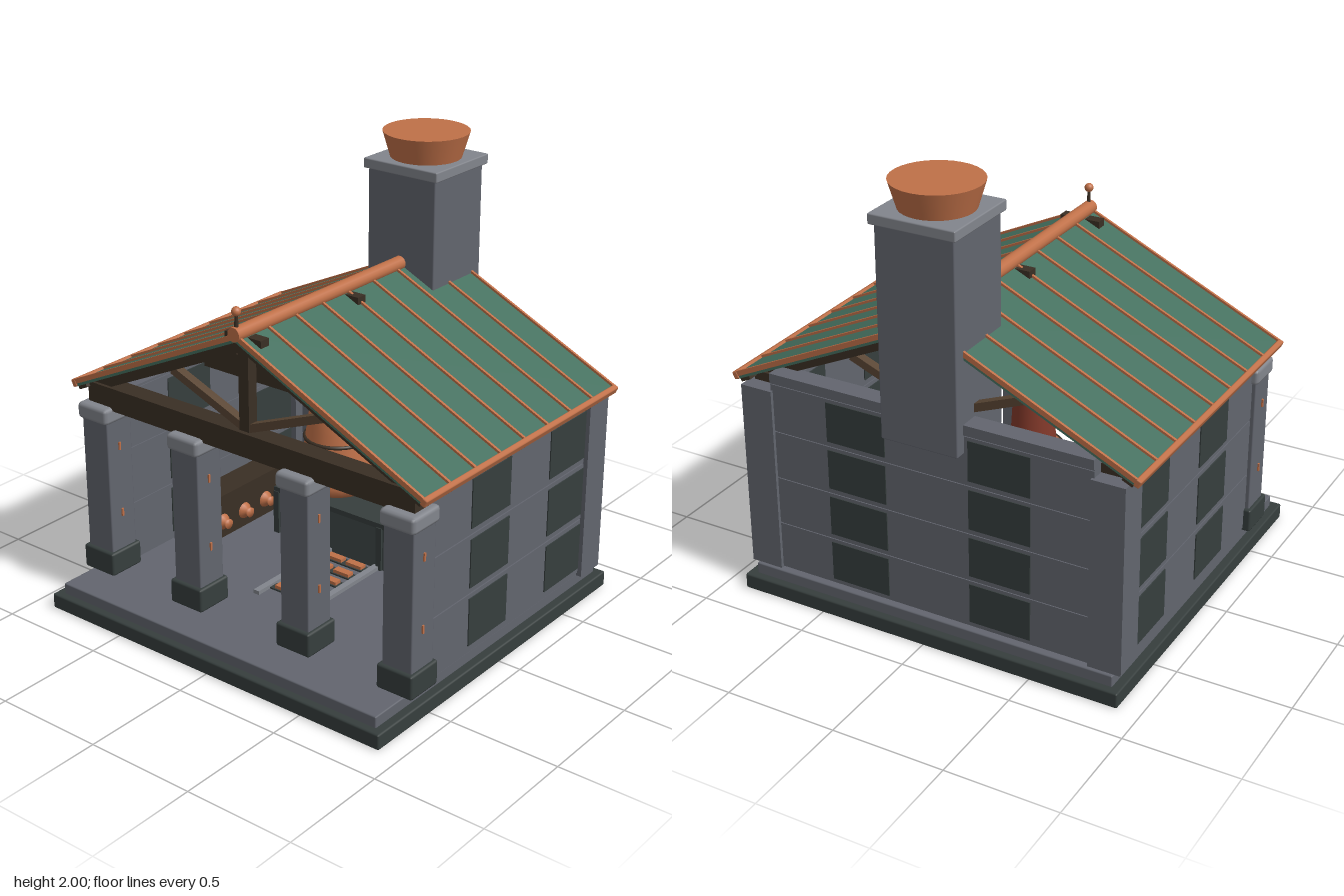
import * as THREE from 'three';
import { RoundedBoxGeometry } from 'three/addons/geometries/RoundedBoxGeometry.js';

const mat = (name, color) => {
  const m = new THREE.MeshStandardMaterial({ color });
  m.name = name;
  return m;
};

export function createModel() {
  const root = new THREE.Group();
  root.name = 'workshop';
  const stone = mat('grey stone', 0x62656e);
  const paleStone = mat('pale stone', 0x82858c);
  const slate = mat('dark slate', 0x363e3d);
  const green = mat('green roofing', 0x45705f);
  const copper = mat('copper', 0xbf7048);
  const rust = mat('dark red copper', 0x83392a);
  const timber = mat('dark timber', 0x3a2f24);
  const strutWood = mat('brown timber', 0x5a4634);
  const iron = mat('iron', 0x3f4847);

  const add = (name, geo, material, x = 0, y = 0, z = 0, parent = root) => {
    const m = new THREE.Mesh(geo, material);
    m.name = name;
    m.position.set(x, y, z);
    parent.add(m);
    return m;
  };
  // Box given by its extents on each axis
  const block = (name, material, x0, x1, y0, y1, z0, z1, bevel = 0, parent = root) => {
    const s = [x1 - x0, y1 - y0, z1 - z0];
    const geo = bevel ? new RoundedBoxGeometry(...s, 1, bevel) : new THREE.BoxGeometry(...s);
    return add(name, geo, material, (x0 + x1) / 2, (y0 + y1) / 2, (z0 + z1) / 2, parent);
  };
  const cyl = (name, material, rTop, rBottom, h, x, y, z, sides = 24, parent = root) =>
    add(name, new THREE.CylinderGeometry(rTop, rBottom, h, sides), material, x, y, z, parent);
  // Timber between two points of one vertical plane
  const timberBar = (name, material, x0, y0, x1, y1, z, thick, depth) => {
    const m = add(name, new THREE.BoxGeometry(Math.hypot(x1 - x0, y1 - y0), thick, depth), material,
      (x0 + x1) / 2, (y0 + y1) / 2, z);
    m.rotation.z = Math.atan2(y1 - y0, x1 - x0);
  };

  // Base
  block('plinth', slate, -0.9, 0.9, 0, 0.07, -0.845, 0.845, 0.008);
  block('floorSlab', stone, -0.86, 0.86, 0.065, 0.12, -0.81, 0.81, 0.006);

  // Side walls in three courses, with dark panels
  for (const s of [-1, 1]) {
    const side = new THREE.Group();
    side.name = 'sideWall';
    root.add(side);
    const wall = (n, m, a, b, ...r) => block(n, m, Math.min(s * a, s * b), Math.max(s * a, s * b), ...r, 0, side);
    wall('wallCore', stone, 0.775, 0.864, 0.12, 0.95, -0.7, 0.5);
    for (let i = 0; i < 3; i++) {
      const y = 0.135 + i * 0.27;
      wall('wallCourse', stone, 0.77, 0.87, y, y + 0.264, -0.66, 0.49);
      for (const z of [-0.645, -0.07])
        wall('wallPanel', slate, 0.765, 0.875, y + 0.025, y + 0.245, z, z + 0.275);
    }
    wall('cornerPier', stone, 0.74, 0.89, 0.12, 0.97, -0.795, -0.65);
  }

  // Back wall in four courses
  block('backWallCore', stone, -0.75, 0.75, 0.12, 1.045, -0.775, -0.705);
  for (let i = 0; i < 4; i++) {
    const y = 0.125 + i * 0.22;
    block('backCourse', stone, -0.75, 0.75, y, y + 0.214, -0.78, -0.7);
    for (const x of [-0.335, 0.335])
      block('backPanel', slate, x - 0.14, x + 0.14, y + 0.02, y + 0.2, -0.785, -0.695);
  }
  block('backWallCap', stone, -0.75, 0.75, 1.005, 1.05, -0.785, -0.695);

  // Front columns
  for (const x of [-0.815, -0.295, 0.295, 0.815]) {
    block('columnShaft', stone, x - 0.073, x + 0.073, 0.2, 0.87, 0.472, 0.618, 0.006);
    block('columnBase', slate, x - 0.088, x + 0.088, 0.12, 0.23, 0.458, 0.636, 0.01);
    block('columnCapital', paleStone, x - 0.086, x + 0.086, 0.845, 0.92, 0.458, 0.636, 0.018);
    for (const s of [-1, 1]) for (const y of [0.405, 0.725])
      block('columnStud', copper, x + s * 0.075 - 0.005, x + s * 0.075 + 0.005, y - 0.018, y + 0.018, 0.545, 0.555);
  }

  // Roof trusses
  for (const z of [0.545, -0.08, -0.68]) {
    block('tieBeam', timber, -0.87, 0.87, 0.905, 1.01, z - 0.045, z + 0.045);
    block('kingPost', timber, -0.026, 0.026, 1.0, 1.4, z - 0.025, z + 0.025);
    block('ridgeCleat', timber, -0.095, 0.095, 1.35, 1.425, z - 0.025, z + 0.025);
    for (const s of [-1, 1]) {
      timberBar('rafter', timber, s * 0.87, 0.98, 0, 1.385, z, 0.05, 0.06);
      timberBar('strut', strutWood, s * 0.02, 1.025, s * 0.4, 1.175, z, 0.035, 0.04);
    }
  }

  // Roof slopes with raised seams and eave rails
  const pitch = Math.atan(0.47), run = 0.93 / Math.cos(pitch);
  for (const turn of [0, Math.PI]) {
    const half = new THREE.Group();
    half.name = 'roofHalf';
    half.position.set(0, 1.437, -0.08);
    half.rotation.y = turn;
    const slope = new THREE.Group();
    slope.name = 'roofSlope';
    slope.rotation.z = -pitch;
    half.add(slope);
    root.add(half);
    block('roofPanel', green, 0, run, -0.024, 0, -0.695, 0.695, 0, slope);
    block('eaveBoard', timber, run - 0.06, run - 0.01, -0.04, -0.022, -0.69, 0.69, 0, slope);
    for (let i = 0; i < 9; i++) {
      const z = -0.692 + i * 0.173;
      block('roofSeam', copper, 0, run, -0.012, 0.01, z - 0.006, z + 0.006, 0, slope);
    }
    block('eaveRail', copper, run - 0.012, run + 0.014, -0.024, 0.012, -0.7, 0.7, 0.006, slope);
  }
  cyl('ridgeTube', copper, 0.031, 0.031, 1.1, 0, 1.445, 0.075, 16).rotation.x = Math.PI / 2;
  cyl('finialRod', timber, 0.007, 0.009, 0.07, 0, 1.495, 0.605, 8);
  add('finialBall', new THREE.SphereGeometry(0.02, 16, 12), copper, 0, 1.54, 0.605);

  // Chimney
  block('chimneyStack', stone, -0.177, 0.177, 0.92, 1.85, -0.83, -0.478, 0.006);
  block('chimneyCap', paleStone, -0.194, 0.194, 1.84, 1.886, -0.849, -0.463, 0.006);
  cyl('chimneyPot', copper, 0.191, 0.155, 0.12, 0, 1.94, -0.655, 32);

  // Firebox carrying two kettles
  block('firebox', iron, -0.45, 0.45, 0.12, 0.335, -0.62, -0.15);
  block('fireboxTop', slate, -0.455, 0.455, 0.325, 0.35, -0.625, -0.145);
  for (const x of [-0.44, -0.15, 0.15, 0.44])
    block('fireboxRib', slate, x - 0.015, x + 0.015, 0.12, 0.33, -0.155, -0.14);
  const kettleProfile = [[0, 0.35], [0.165, 0.35], [0.172, 0.39], [0.16, 0.5], [0.14, 0.64], [0.118, 0.79], [0.09, 0.81], [0, 0.81]]
    .map(p => new THREE.Vector2(...p));
  for (const x of [-0.255, 0.255]) {
    add('kettle', new THREE.LatheGeometry(kettleProfile, 24), copper, x, 0, -0.36);
    for (const [y, r] of [[0.44, 0.168], [0.59, 0.149], [0.735, 0.127], [0.785, 0.119]])
      add('kettleBand', new THREE.TorusGeometry(r, 0.009, 8, 32), timber, x, y, -0.36).rotation.x = Math.PI / 2;
    cyl('kettleNeck', rust, 0.07, 0.095, 0.41, x, 1.005, -0.36);
  }
  cyl('crossPipe', iron, 0.057, 0.057, 0.42, 0, 1.152, -0.36, 20).rotation.z = Math.PI / 2;
  cyl('fluePipe', iron, 0.05, 0.05, 0.14, 0, 1.152, -0.42, 20).rotation.x = Math.PI / 2;

  // Floor track with ingots
  for (const x of [-0.135, 0.135]) block('trackRail', paleStone, x - 0.015, x + 0.015, 0.12, 0.138, -0.15, 0.36);
  for (let i = 0; i < 5; i++) {
    const z = -0.1 + i * 0.09;
    block('trackBed', slate, -0.12, 0.12, 0.12, 0.127, z - 0.025, z + 0.025);
    for (const x of [-0.055, 0.055]) block('ingot', copper, x - 0.042, x + 0.042, 0.125, 0.142, z - 0.018, z + 0.018);
  }

  // Wall rack with copper flasks lying on it
  block('rackBoard', timber, -0.74, -0.6, 0.12, 0.33, -0.5, 0.15);
  const flask = [[0, 0], [0.035, 0.005], [0.048, 0.04], [0.035, 0.075], [0.018, 0.09], [0.024, 0.105], [0, 0.105]]
    .map(p => new THREE.Vector2(...p));
  for (let i = 0; i < 5; i++)
    add('flask', new THREE.LatheGeometry(flask, 16), copper, -0.665, 0.2, 0.2 - i * 0.15).rotation.z = -Math.PI / 2;

  // Anvil on a stump
  cyl('stump', timber, 0.1, 0.1, 0.09, 0.61, 0.165, 0.2, 16);
  block('anvilBody', iron, 0.555, 0.665, 0.2, 0.275, 0.15, 0.25);
  block('anvilFace', iron, 0.545, 0.68, 0.27, 0.29, 0.13, 0.27);

  return root;
}
